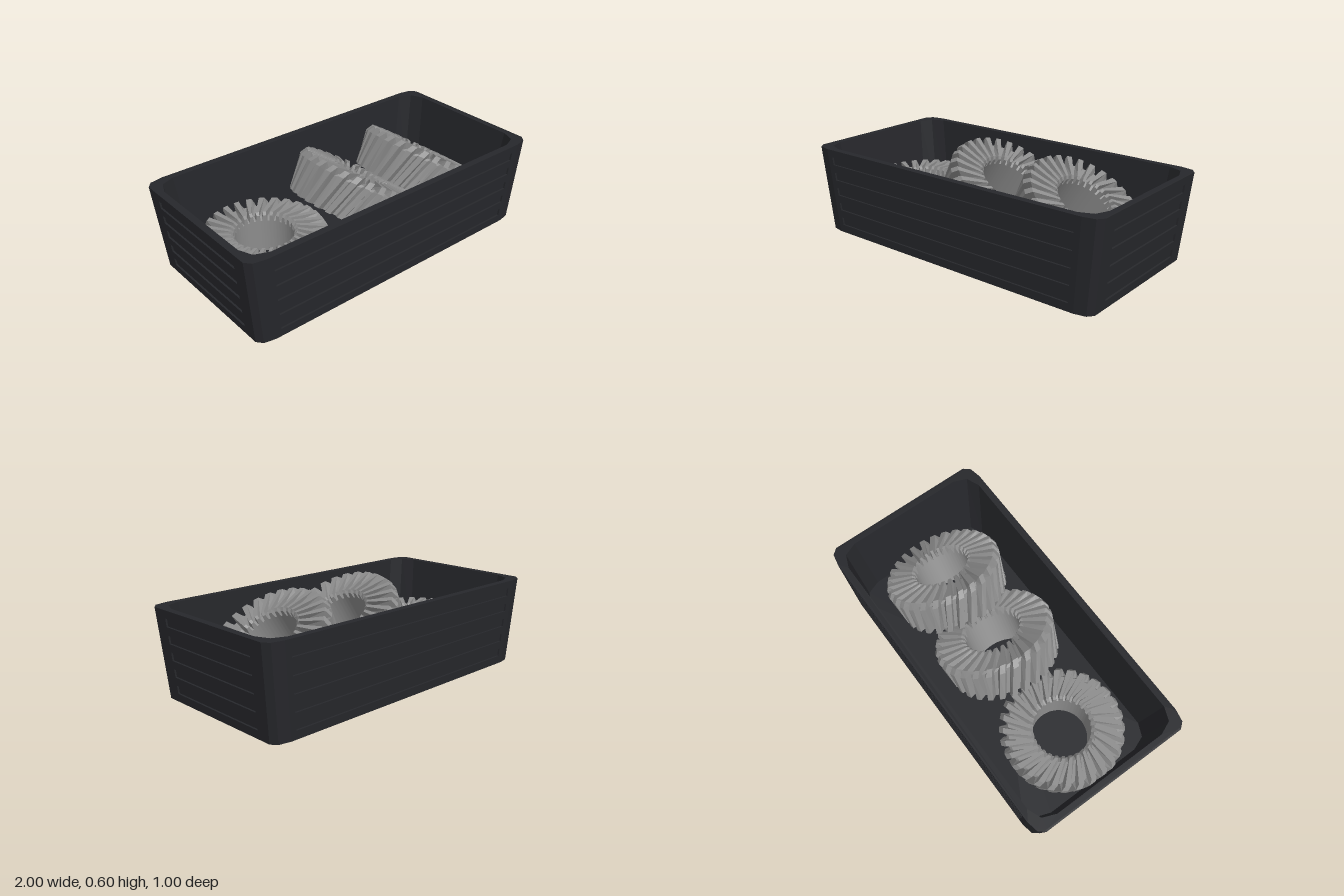
import * as THREE from 'three';

const boxMat = new THREE.MeshStandardMaterial({ color: 0x26272b, flatShading: true });
const gearMat = new THREE.MeshStandardMaterial({ color: 0x8c8c8c, flatShading: true });
const H = 0.52;       // box height
const GROOVE = 0.01;  // groove depth

// Skin between successive closed rings of [x, y, z]; skip(i) leaves a strip open
function loft(rings, skip = () => false) {
  const n = rings[0].length, idx = [];
  for (let k = 0; k < rings.length - 1; k++) {
    for (let i = 0; i < n; i++) {
      if (skip(i)) continue;
      const j = (i + 1) % n, a = k * n, b = a + n;
      idx.push(a + i, b + i, b + j, a + i, b + j, a + j);
    }
  }
  const g = new THREE.BufferGeometry();
  g.setAttribute('position', new THREE.Float32BufferAttribute(rings.flat(2), 3));
  g.setIndex(idx);
  g.computeVertexNormals();
  return g;
}

// Rectangle with two-facet corners at height y
function rectRing(hx, hz, cx, cz, y) {
  const q = [[hx, hz - cz], [hx - cx * 0.29, hz - cz * 0.29], [hx - cx, hz]];
  const r = q.slice().reverse();
  return [
    ...q, ...r.map(([x, z]) => [-x, z]),
    ...q.map(([x, z]) => [-x, -z]), ...r.map(([x, z]) => [x, -z]),
  ].map(([x, z]) => [x, y, z]);
}

function named(name, geometry, material) {
  const m = new THREE.Mesh(geometry, material);
  m.name = name;
  return m;
}

// Sloped wall panel with five long slots; half widths and distance at bottom / top
function wallPanel(w0, w1, d0, d1, slotRatio) {
  const tilt = Math.atan2(d1 - d0, H), len = Math.hypot(d1 - d0, H);
  const half = (y) => w0 + (w1 - w0) * y / len;
  const trapezoid = (C, y0, y1, k) => new C([
    new THREE.Vector2(-half(y0) * k, y0), new THREE.Vector2(half(y0) * k, y0),
    new THREE.Vector2(half(y1) * k, y1), new THREE.Vector2(-half(y1) * k, y1),
  ]);
  const shape = trapezoid(THREE.Shape, 0, len, 1);
  for (let i = 0; i < 5; i++) {
    const y = 0.048 + i * 0.095;
    shape.holes.push(trapezoid(THREE.Path, y, y + 0.047, slotRatio));
  }
  const g = new THREE.ExtrudeGeometry(shape, { depth: GROOVE, bevelEnabled: false });
  return g.translate(0, 0, -GROOVE).rotateX(tilt).translate(0, 0, d0);
}

function makeBox() {
  const box = new THREE.Group();
  box.name = 'box';
  const outer0 = rectRing(0.95, 0.475, 0.095, 0.0475, 0);
  const outer1 = rectRing(1, 0.5, 0.1, 0.05, H);
  const core0 = rectRing(0.95 - GROOVE, 0.475 - GROOVE, 0.095, 0.0475, 0);
  const core1 = rectRing(1 - GROOVE, 0.5 - GROOVE, 0.1, 0.05, H);

  // Hollow tray with a shallow recess underneath
  box.add(named('tray', loft([
    rectRing(0, 0, 0, 0, 0.005),
    rectRing(0.86, 0.385, 0.08, 0.04, 0.005),
    rectRing(0.86, 0.385, 0.08, 0.04, 0),
    core0, core1,
    rectRing(0.96, 0.46, 0.11, 0.11, H),
    rectRing(0.9, 0.43, 0.11, 0.12, 0.05),
    rectRing(0, 0, 0, 0, 0.05),
  ]), boxMat));

  // Faceted corner strips between the panels
  box.add(named('cornerPosts', loft([core0, outer0, outer1, core1], (i) => i % 3 === 2), boxMat));

  // Slotted panels on all four sides
  const long = wallPanel(0.855, 0.9, 0.475, 0.5, 0.96);
  const short = wallPanel(0.4275, 0.45, 0.95, 1, 0.8);
  ['frontPanel', 'rightPanel', 'backPanel', 'leftPanel'].forEach((name, i) => {
    const p = named(name, i % 2 ? short : long, boxMat);
    p.rotation.y = i * Math.PI / 2;
    box.add(p);
  });
  return box;
}

// Spiral-toothed ring: each station is [tooth r, tooth y, gap r, gap y, twist]
function gearGeometry() {
  const teeth = 28;
  const stations = [
    [0.165, 0, 0.165, 0, 0],
    [0.33, 0, 0.29, 0, 0],
    [0.357, 0.21, 0.315, 0.2, -0.2],
    [0.335, 0.25, 0.305, 0.215, -0.25],
    [0.18, 0.25, 0.195, 0.215, -0.42],
    [0.165, 0.235, 0.165, 0.2, -0.42],
    [0.165, 0, 0.165, 0, -0.42],
  ];
  const steps = [[0, 0], [0.3, 0], [0.42, 1], [0.85, 1]];
  return loft(stations.map(([tr, ty, gr, gy, twist]) => {
    const ring = [];
    for (let t = 0; t < teeth; t++) {
      for (const [f, up] of steps) {
        const a = (t + f) / teeth * Math.PI * 2 + twist, r = up ? tr : gr;
        ring.push([r * Math.cos(a), up ? ty : gy, r * Math.sin(a)]);
      }
    }
    return ring;
  }));
}

export function createModel() {
  const model = new THREE.Group();
  model.name = 'boxOfGears';
  model.add(makeBox());

  // One gear lying flat, two leaning on their neighbours: [name, x, y, lean]
  const geometry = gearGeometry();
  for (const [name, x, y, lean] of [
    ['flatGear', -0.58, 0.05, 0],
    ['middleLeaningGear', -0.035, 0.207, -0.57],
    ['endLeaningGear', 0.475, 0.192, -0.57],
  ]) {
    const gear = named(name, geometry, gearMat);
    gear.position.set(x, y, 0);
    gear.rotation.z = lean;
    model.add(gear);
  }
  return model;
}
